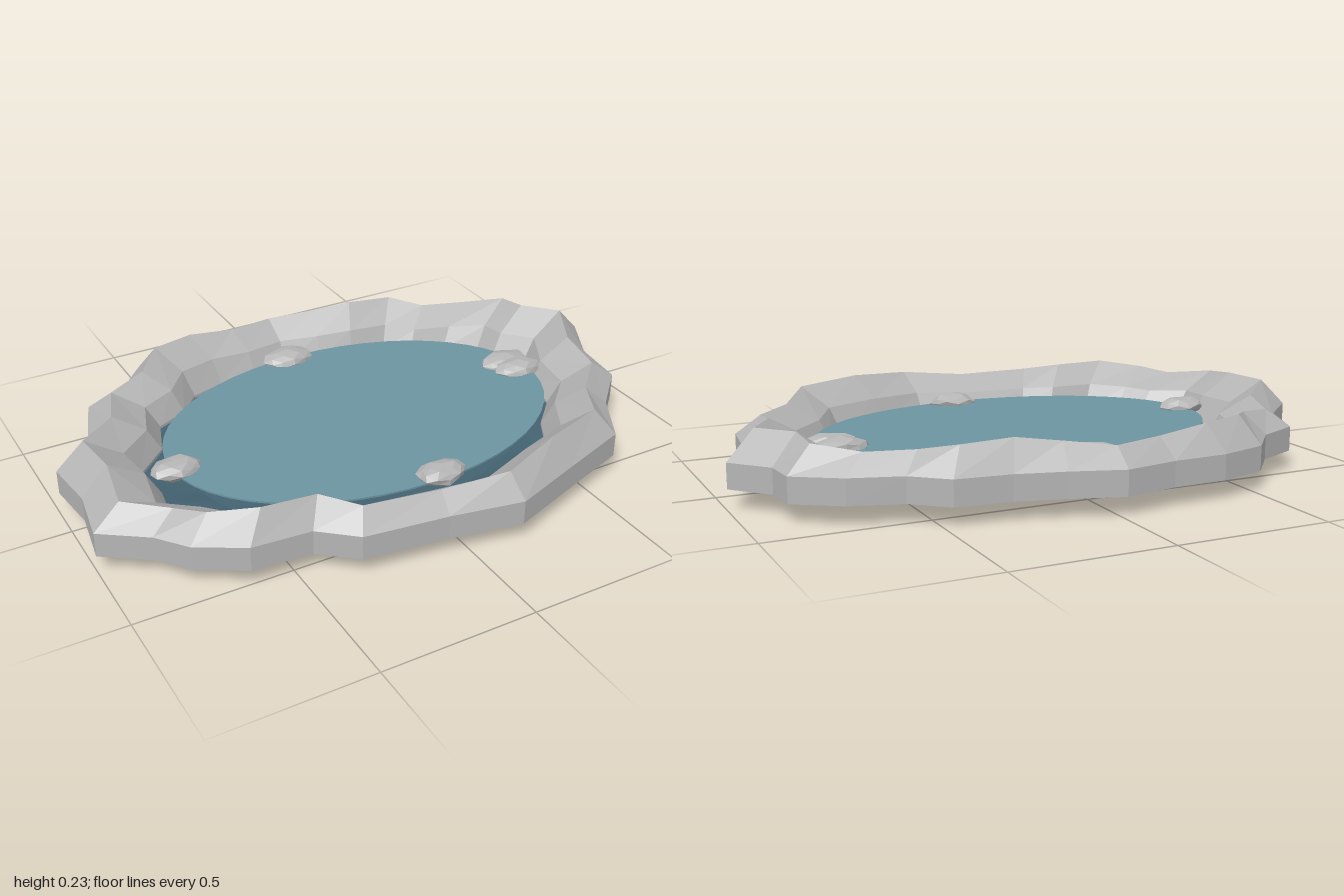
import * as THREE from 'three';

const stoneGrey = new THREE.MeshStandardMaterial({ color: 0xb4b5b4, flatShading: true });
const waterBlue = new THREE.MeshStandardMaterial({ color: 0x6c95a1, flatShading: true });
const basinBlue = new THREE.MeshStandardMaterial({ color: 0x446372, flatShading: true, side: THREE.DoubleSide });
stoneGrey.name = 'stoneGrey';
waterBlue.name = 'waterBlue';
basinBlue.name = 'basinBlue';

// Uneven outer outline of the rim as x, z pairs, running from +x towards +z
const outline = [
  [0.995, -0.14], [0.90, 0.04], [0.88, 0.22], [0.74, 0.36], [0.64, 0.535], [0.40, 0.62],
  [0.165, 0.705], [-0.07, 0.66], [-0.34, 0.625], [-0.45, 0.53], [-0.64, 0.515], [-0.785, 0.43],
  [-0.86, 0.335], [-1.0, 0.235], [-0.97, 0.05], [-0.99, -0.13], [-0.84, -0.27], [-0.775, -0.455],
  [-0.63, -0.52], [-0.53, -0.635], [-0.37, -0.68], [-0.19, -0.685], [-0.015, -0.715], [0.15, -0.66],
  [0.30, -0.62], [0.475, -0.60], [0.58, -0.51], [0.74, -0.46], [0.88, -0.37], [0.89, -0.255],
];
const COUNT = outline.length;

// A ring following the outline, scaled inward, with optional height variation
const outlineRing = (scale, y, wave = 0) =>
  outline.map(([x, z], i) => [x * scale, y + wave * Math.cos(i * 1.3), z * scale]);

// An elliptical ring whose points line up with the outline directions
const ellipseRing = (rx, rz, y) => outline.map(([x, z]) => {
  const a = Math.atan2(z / 0.67, x / 0.94);
  return [rx * Math.cos(a), y, rz * Math.sin(a)];
});

// Skin joining successive rings
function skin(rings) {
  const index = [];
  for (let k = 0; k < rings.length - 1; k++) {
    for (let i = 0; i < COUNT; i++) {
      const j = (i + 1) % COUNT;
      const a = k * COUNT + i, c = k * COUNT + j, b = a + COUNT, d = c + COUNT;
      index.push(a, b, c, b, d, c);
    }
  }
  const geometry = new THREE.BufferGeometry();
  geometry.setAttribute('position', new THREE.Float32BufferAttribute(rings.flat(2), 3));
  geometry.setIndex(index);
  geometry.computeVertexNormals();
  return geometry;
}

// Flattened, slightly irregular pebble
function pebbleGeometry(seed) {
  const geometry = new THREE.IcosahedronGeometry(1, 1);
  const p = geometry.attributes.position;
  const v = new THREE.Vector3();
  for (let i = 0; i < p.count; i++) {
    v.fromBufferAttribute(p, i);
    v.multiplyScalar(1 + 0.08 * Math.sin(v.x * 5 + v.y * 3 + v.z * 7 + seed));
    p.setXYZ(i, v.x, v.y, v.z);
  }
  geometry.computeVertexNormals();
  return geometry;
}

export function createModel() {
  const pond = new THREE.Group();
  pond.name = 'pond';
  const add = (name, geometry, material) => {
    const mesh = new THREE.Mesh(geometry, material);
    mesh.name = name;
    pond.add(mesh);
    return mesh;
  };

  // Stone rim: outer wall, sloping crest, inner bank and flat underside
  const base = outlineRing(1, 0.06);
  add('stoneRim', skin([
    base, outlineRing(1, 0.14), outlineRing(0.91, 0.215, 0.018),
    outlineRing(0.79, 0.15, 0.008), outlineRing(0.74, 0.07), outlineRing(0.74, 0.06), base,
  ]), stoneGrey);

  // Shallow basin under the water
  add('basin', skin([
    outlineRing(0.765, 0.058), ellipseRing(0.59, 0.41, 0.025), ellipseRing(0, 0, 0),
  ]), basinBlue);

  // Water surface
  const water = add('water', new THREE.CylinderGeometry(1, 1, 0.006, 48), waterBlue);
  water.scale.set(0.672, 1, 0.466);
  water.position.y = 0.124;

  // Pebbles at the water's edge: x, z, half width, half depth
  [
    [-0.035, -0.46, 0.088, 0.06],
    [-0.66, 0.02, 0.082, 0.056],
    [0.04, 0.44, 0.082, 0.056],
    [0.62, -0.06, 0.088, 0.058],
    [0.635, 0.0, 0.085, 0.056],
  ].forEach(([x, z, w, d], i) => {
    const pebble = add('pebble' + (i + 1), pebbleGeometry(i * 1.7), stoneGrey);
    pebble.scale.set(w, 0.032, d);
    pebble.position.set(x, 0.132, z);
  });

  return pond;
}
